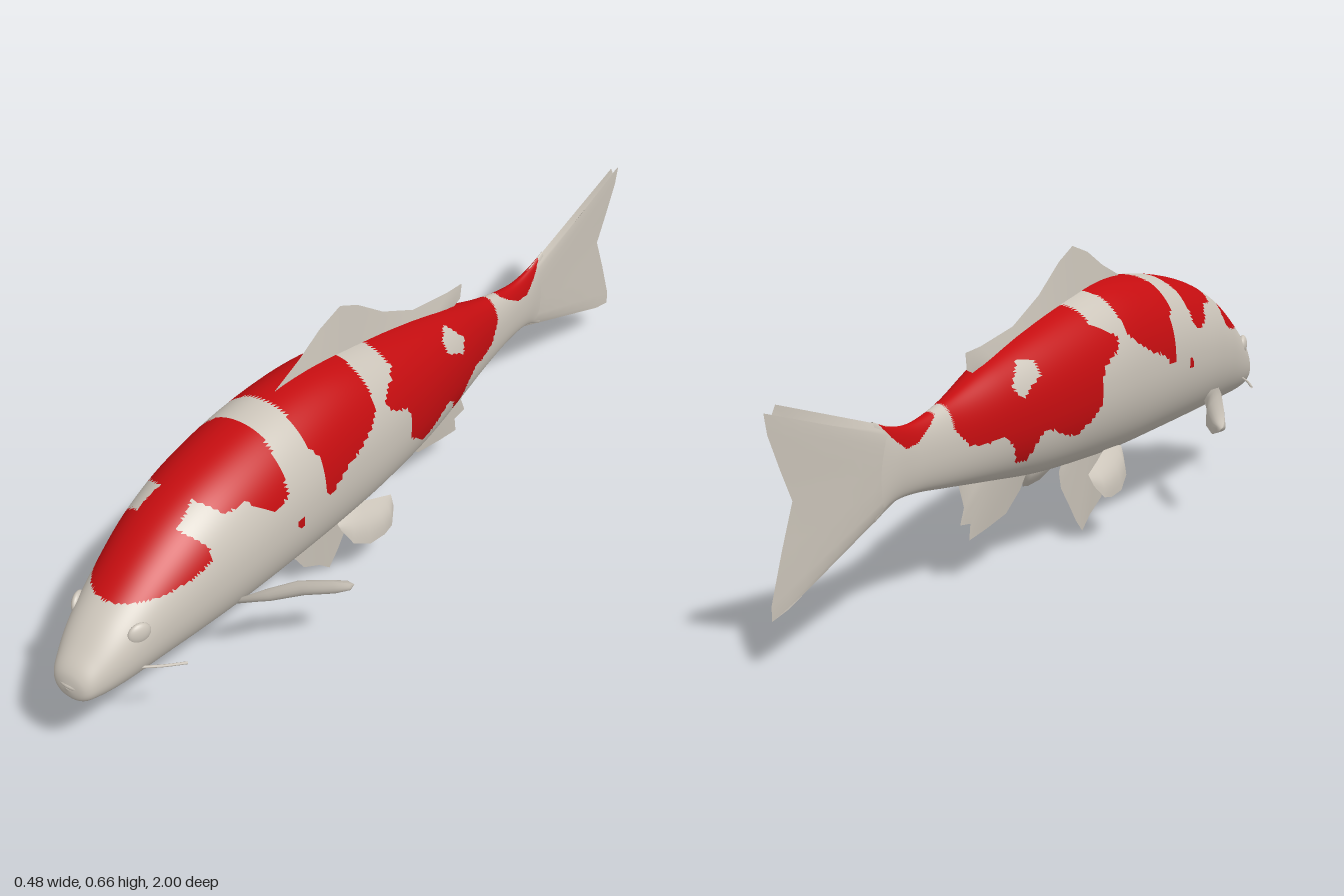
import * as THREE from 'three';

const white = new THREE.MeshStandardMaterial({ color: 0xcdc6bb, side: THREE.DoubleSide });
white.name = 'pale skin';
const red = new THREE.MeshStandardMaterial({ color: 0xc50d10, side: THREE.DoubleSide });
red.name = 'red patches';

// Body cross-sections: z, top y, bottom y, half width
const SECTIONS = [
  [1, .245, .245, 0], [.99, .28, .215, .04], [.96, .315, .205, .06], [.9, .37, .2, .082],
  [.8, .44, .197, .104], [.7, .495, .194, .123], [.58, .535, .19, .137], [.42, .562, .184, .142],
  [.25, .567, .178, .138], [.1, .545, .18, .13], [-.08, .503, .187, .107], [-.25, .455, .205, .075],
  [-.4, .405, .222, .043], [-.52, .38, .235, .025], [-.6, .385, .232, .018], [-.66, .405, .205, .009],
];

// Red patches as side outlines (z, y); both flanks share them
const PATCHES = [
  // head and shoulders
  [[.88, .385], [.88, .7], [.44, .7], [.46, .56], [.47, .52], [.48, .44], [.52, .43], [.55, .45], [.58, .48],
    [.63, .475], [.66, .505], [.72, .475], [.69, .435], [.695, .41], [.74, .395], [.8, .387]],
  // saddle
  [[.37, .7], [.16, .7], [.16, .56], [.165, .47], [.2, .44], [.25, .415], [.29, .405], [.32, .39], [.35, .37],
    [.37, .385], [.365, .43], [.37, .475], [.39, .5]],
  // rear back
  [[.08, .7], [-.42, .7], [-.42, .35], [-.38, .31], [-.33, .305], [-.28, .31], [-.25, .29], [-.225, .245],
    [-.19, .245], [-.17, .285], [-.145, .305], [-.12, .3], [-.075, .28], [-.03, .272], [.01, .3], [.043, .325],
    [.043, .38], [.06, .41], [.12, .44], [.13, .465], [.1, .48], [.06, .5]],
  // tail root
  [[-.46, .7], [-.66, .7], [-.64, .395], [-.61, .365], [-.57, .337], [-.53, .342], [-.49, .365], [-.46, .385]],
  // spot
  [[.465, .36], [.45, .375], [.435, .36], [.45, .345]],
];
const GAP = [[-.15, .45], [-.19, .46], [-.24, .41], [-.22, .38], [-.19, .4], [-.15, .42]];

function inside(poly, z, y) {
  let hit = false;
  poly.forEach(([z1, y1], i) => {
    const [z2, y2] = poly[(i + 1) % poly.length];
    if ((y1 > y) !== (y2 > y) && z < (z2 - z1) * (y - y1) / (y2 - y1) + z1) hit = !hit;
  });
  return hit;
}
const isRed = (z, y) => !inside(GAP, z, y) && PATCHES.some((p) => inside(p, z, y));

function bodyGeometry() {
  const N = 240, M = 112;
  const spline = (f) => new THREE.CatmullRomCurve3(SECTIONS.map(f), false, 'catmullrom', 0.5);
  const tops = spline(([z, top, , w]) => new THREE.Vector3(w, top, z));
  const bottoms = spline(([z, , bot]) => new THREE.Vector3(0, bot, z));
  const pos = [];
  const power = (v) => Math.sign(v) * Math.abs(v) ** 0.94;
  for (let i = 0; i <= N; i++) {
    const a = tops.getPoint(i / N), b = bottoms.getPoint(i / N);
    const mid = (a.y + b.y) / 2, half = (a.y - b.y) / 2;
    for (let j = 0; j < M; j++) {
      const t = (j / M) * Math.PI * 2;
      pos.push(a.x * power(Math.cos(t)), mid + half * power(Math.sin(t)), a.z);
    }
  }
  // sort each triangle into the pale or the red group
  const pale = [], painted = [];
  const addTriangle = (...tri) => {
    const mean = (k) => tri.reduce((s, v) => s + pos[v * 3 + k], 0) / 3;
    (isRed(mean(2), mean(1)) ? painted : pale).push(...tri);
  };
  for (let i = 0; i < N; i++) for (let j = 0; j < M; j++) {
    const a = i * M + j, b = i * M + (j + 1) % M;
    addTriangle(a, a + M, b);
    addTriangle(b, a + M, b + M);
  }
  const g = new THREE.BufferGeometry();
  g.setAttribute('position', new THREE.Float32BufferAttribute(pos, 3));
  g.setIndex([...pale, ...painted]);
  g.addGroup(0, pale.length, 0);
  g.addGroup(pale.length, painted.length, 1);
  g.computeVertexNormals();
  return g;
}

// Fin lofted between pairs of edge points; thick at the root, or in the middle when lens is set
function fin(name, pairs, thick, dir = [1, 0, 0], lens = false) {
  const S = 8, n = pairs.length, pos = [], idx = [];
  const normal = new THREE.Vector3(...dir).normalize();
  for (const side of [1, -1]) {
    const base = pos.length / 3;
    pairs.forEach(([from, to], i) => {
      const ends = Math.sqrt(Math.max(0, Math.sin((Math.PI * i) / (n - 1))));
      for (let k = 0; k <= S; k++) {
        const s = k / S, h = thick * ends * (lens ? Math.sin(Math.PI * s) : 1 - s);
        const p = new THREE.Vector3(...from).lerp(new THREE.Vector3(...to), s).addScaledVector(normal, side * h);
        pos.push(p.x, p.y, p.z);
        if (i < n - 1 && k < S) {
          const a = base + i * (S + 1) + k, b = a + S + 1;
          idx.push(...(side > 0 ? [a, b, a + 1, b, b + 1, a + 1] : [a, a + 1, b, b, a + 1, b + 1]));
        }
      }
    });
  }
  const g = new THREE.BufferGeometry();
  g.setAttribute('position', new THREE.Float32BufferAttribute(pos, 3));
  g.setIndex(idx);
  g.computeVertexNormals();
  return named(name, g);
}
const named = (name, geometry, material = white) => {
  const m = new THREE.Mesh(geometry, material);
  m.name = name;
  return m;
};
// Rows of root z, root y, tip z, tip y, placed at x = f(y)
const flat = (rows, f = () => 0) => rows.map(([z, y, z2, y2]) => [[f(y), y, z], [f(y2), y2, z2]]);

function ellipsoid(name, [x, y, z], [rx, ry, rz]) {
  const m = named(name, new THREE.SphereGeometry(1, 24, 16));
  m.position.set(x, y, z);
  m.scale.set(rx, ry, rz);
  return m;
}

export function createModel() {
  const fish = new THREE.Group();
  fish.name = 'fish';
  fish.add(named('body', bodyGeometry(), [white, red]));

  // Fins on the centre line
  fish.add(fin('dorsalFin', flat([
    [.35, .54, .35, .568], [.28, .54, .27, .6], [.22, .54, .2, .637], [.15, .53, .13, .658], [.08, .51, .07, .63],
    [0, .48, -.02, .567], [-.1, .46, -.13, .515], [-.19, .44, -.26, .492], [-.22, .43, -.32, .487], [-.25, .425, -.315, .45],
  ]), .012));
  fish.add(fin('tailFin', flat([
    [-.58, .38, -.965, .492], [-.58, .37, -.98, .468], [-.58, .36, -1, .482], [-.58, .345, -.99, .44],
    [-.58, .33, -.955, .37], [-.58, .308, -.92, .305], [-.58, .285, -.955, .22], [-.58, .265, -.99, .125],
    [-.58, .25, -.99, .095], [-.58, .235, -.94, .105],
  ]), .014));
  fish.add(fin('bellyFin', flat([
    [.33, .2, .345, .18], [.3, .2, .32, .13], [.27, .2, .27, .06], [.24, .2, .215, .03], [.22, .2, .18, 0],
    [.2, .2, .15, .03], [.17, .2, .12, .07], [.12, .2, .08, .12], [.1, .2, .07, .16],
  ]), .012));
  fish.add(fin('analFin', flat([
    [-.06, .21, -.07, .19], [-.1, .21, -.1, .155], [-.13, .21, -.16, .115], [-.16, .21, -.24, .1], [-.19, .22, -.31, .09],
    [-.22, .22, -.305, .125], [-.24, .225, -.345, .13], [-.26, .23, -.33, .165], [-.29, .235, -.35, .215],
  ]), .012));

  // Mouth
  fish.add(ellipsoid('upperLip', [0, .25, .972], [.042, .013, .028]));
  fish.add(ellipsoid('lowerLip', [0, .222, .965], [.038, .012, .026]));

  // Paired parts, mirrored to the other side
  for (const side of [1, -1]) {
    const half = new THREE.Group();
    half.name = side > 0 ? 'leftParts' : 'rightParts';
    half.scale.x = side;
    half.add(fin('pectoralFin', [
      [[.1, .262, .63], [.095, .24, .615]], [[.15, .28, .58], [.135, .225, .55]], [[.185, .278, .52], [.165, .208, .48]],
      [[.22, .255, .46], [.205, .2, .43]], [[.238, .235, .425], [.228, .21, .41]], [[.242, .225, .41], [.235, .215, .405]],
    ], .014, [.75, -.45, .5], true));
    half.add(fin('pelvicFin', flat([
      [.24, .195, .235, .175], [.2, .205, .215, .135], [.16, .2, .17, .11], [.12, .185, .12, .105],
      [.09, .175, .09, .11], [.06, .165, .065, .14],
    ], (y) => .06 + (.21 - y) * .45), .013, [.9, .4, 0], true));
    const eye = ellipsoid('eye', [.078, .335, .872], [.011, .023, .025]);
    eye.rotation.y = -.35;
    half.add(eye);
    const path = new THREE.CatmullRomCurve3([
      new THREE.Vector3(.075, .25, .875), new THREE.Vector3(.105, .247, .845), new THREE.Vector3(.135, .242, .805),
    ]);
    half.add(named('barbel', new THREE.TubeGeometry(path, 10, .003, 6)));
    fish.add(half);
  }
  return fish;
}
